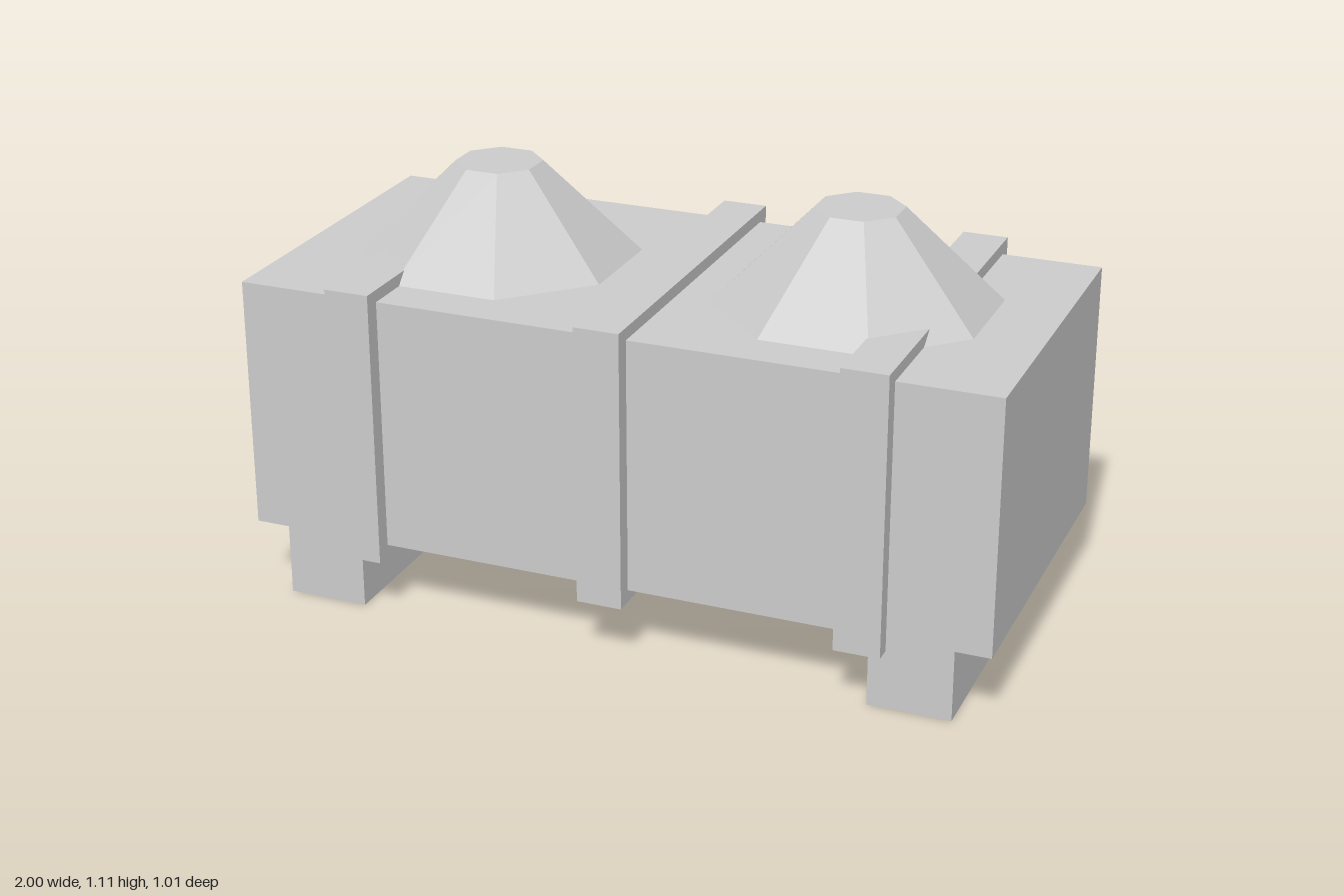
import * as THREE from 'three';

export function createModel() {
  const group = new THREE.Group();
  const material = new THREE.MeshStandardMaterial({ color: 0xcccccc, flatShading: true });

  const add = (name, geometry, x, y) => {
    const mesh = new THREE.Mesh(geometry, material);
    mesh.name = name;
    mesh.position.set(x, y, 0);
    group.add(mesh);
  };
  // Box given by its centre x, width, bottom, top and depth
  const box = (name, x, width, bottom, top, depth) =>
    add(name, new THREE.BoxGeometry(width, top - bottom, depth), x, (bottom + top) / 2);

  // Main crate
  box('body', 0, 2, 0.19, 0.863, 0.926);

  // Bands wrapped around the crate
  box('middleStrap', 0, 0.12, 0.157, 0.895, 1.014);

  // Mirrored end straps, feet and octagonal caps
  for (const [side, s] of [['left', 1], ['right', -1]]) {
    box(side + 'Strap', s * 0.676, 0.12, 0.157, 0.895, 1.014);
    box(side + 'Foot', s * 0.8, 0.216, 0, 0.19, 0.926);

    const bottom = 0.863, top = 1.11;
    const toCorner = 1 / Math.cos(Math.PI / 8);
    const cap = new THREE.CylinderGeometry(0.105 * toCorner, 0.34 * toCorner, top - bottom, 8);
    cap.rotateY(Math.PI / 8);
    add(side + 'Cap', cap, s * 0.491, (bottom + top) / 2);
  }

  return group;
}
